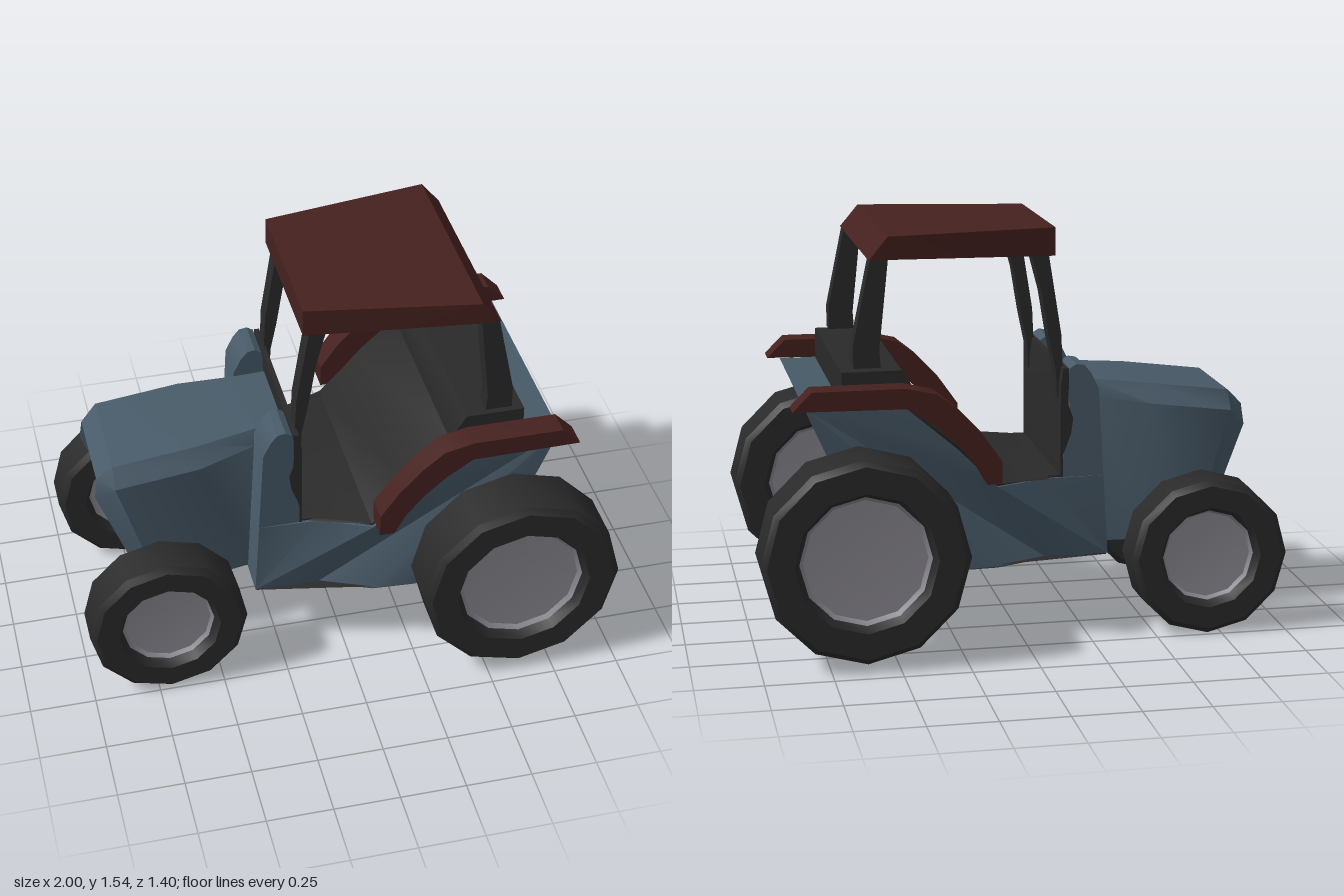
import * as THREE from 'three';
import { toCreasedNormals } from 'three/addons/utils/BufferGeometryUtils.js';

const mat = (color) => new THREE.MeshStandardMaterial({ color });
const BLUE = mat(0x485a68), RED = mat(0x45211f), BLACK = mat(0x2a2a2a), METAL = mat(0x8a8890);

function part(name, geometry, material) {
  const mesh = new THREE.Mesh(toCreasedNormals(geometry, 0.6), material);
  mesh.name = name;
  return mesh;
}

// Side profile in x/y, extruded between two z values
function plate(profile, z0, z1) {
  const shape = new THREE.Shape(profile.map(([x, y]) => new THREE.Vector2(x, y)));
  const g = new THREE.ExtrudeGeometry(shape, { depth: z1 - z0, bevelEnabled: false });
  return g.translate(0, 0, z0);
}

// Symmetric slab whose half width depends on x
function slab(profile, width) {
  const g = plate(profile, -1, 1), p = g.attributes.position;
  for (let i = 0; i < p.count; i++) p.setZ(i, p.getZ(i) * width(p.getX(i)));
  return g;
}

// Piecewise-linear lookup through [x, value] pairs
function ramp(pairs) {
  return (x) => {
    for (let i = 1; i < pairs.length; i++) {
      const [x0, v0] = pairs[i - 1], [x1, v1] = pairs[i];
      if (x <= x1) return THREE.MathUtils.lerp(v0, v1, Math.max(0, (x - x0) / (x1 - x0)));
    }
    return pairs[pairs.length - 1][1];
  };
}

// Skin over equal-sized rings, closed at both ends
function loft(rings) {
  const n = rings[0].length, index = [];
  for (let r = 0; r + 1 < rings.length; r++) {
    for (let i = 0; i < n; i++) {
      const a = r * n + i, b = r * n + (i + 1) % n;
      index.push(a, a + n, b, b, a + n, b + n);
    }
  }
  const last = (rings.length - 1) * n;
  for (let i = 1; i < n - 1; i++) index.push(0, i, i + 1, last, last + i + 1, last + i);
  const g = new THREE.BufferGeometry();
  g.setAttribute('position', new THREE.Float32BufferAttribute(rings.flat(2), 3));
  g.setIndex(index);
  return g;
}

function lathe(points) {
  const g = new THREE.LatheGeometry(points.map(([r, y]) => new THREE.Vector2(r, y)), 12);
  return g.rotateX(Math.PI / 2);
}

function wheel(name, R, rim, h, x, y, z) {
  const g = new THREE.Group(), c = 0.022;
  g.name = name;
  g.add(part('tyre', lathe([
    [rim, -h + 0.035], [rim + 0.02, -h], [R - c, -h], [R, -h + c],
    [R, h - c], [R - c, h], [rim + 0.02, h], [rim, h - 0.035],
  ]), BLACK));
  g.add(part('rim', lathe([
    [0, -h + 0.06], [rim * 0.94, -h + 0.05], [rim + 0.005, -h + 0.03],
    [rim + 0.005, h - 0.03], [rim * 0.94, h - 0.05], [0, h - 0.06],
  ]), METAL));
  g.position.set(x, y, z);
  return g;
}

function axle(name, x, y, r, length) {
  const m = part(name, new THREE.CylinderGeometry(r, r, length, 12).rotateX(Math.PI / 2), METAL);
  m.position.set(x, y, 0);
  return m;
}

export function createModel() {
  const tractor = new THREE.Group();
  tractor.name = 'tractor';

  // Lower body, widening from the cowl to the rear deck
  const bodyWidth = ramp([[-0.34, 0.345], [-0.1, 0.355], [0.1, 0.44], [0.25, 0.45], [0.53, 0.45], [0.81, 0.44]]);
  tractor.add(part('body', slab([
    [-0.34, 0.3], [-0.1, 0.3], [0.1, 0.3], [0.25, 0.3], [0.53, 0.3], [0.81, 0.935],
    [0.46, 0.935], [0.25, 0.755], [0.1, 0.605], [-0.1, 0.605], [-0.32, 0.605],
  ], bodyWidth), BLUE));
  tractor.add(part('underside', slab([
    [-0.335, 0.295], [-0.1, 0.295], [0.1, 0.295], [0.25, 0.295], [0.52, 0.295],
    [0.52, 0.305], [0.25, 0.305], [0.1, 0.305], [-0.1, 0.305], [-0.335, 0.305],
  ], (x) => bodyWidth(x) - 0.003), BLACK));

  // Cab floor and sloping rear wall
  tractor.add(part('cabLining', slab([
    [-0.16, 0.6], [-0.1, 0.6], [0.1, 0.6], [0.25, 0.75], [0.46, 0.93],
    [0.46, 0.945], [0.245, 0.765], [0.095, 0.612], [-0.1, 0.612], [-0.16, 0.612],
  ], (x) => bodyWidth(x) - 0.012), BLACK));
  tractor.add(part('rearDeck', plate([
    [0.41, 0.9], [0.67, 0.93], [0.67, 1.055], [0.45, 1.055], [0.415, 1.0],
  ], -0.425, 0.425), BLACK));

  // Hood: bottom, shoulder and top corners of each section, then half widths
  const hood = [
    [-0.77, 0.36, -0.91, 0.74, -0.9, 0.82, 0.19, 0.18],
    [-0.7, 0.34, -0.84, 0.81, -0.84, 0.88, 0.25, 0.2],
    [-0.52, 0.32, -0.52, 0.85, -0.52, 0.92, 0.25, 0.2],
    [-0.3, 0.305, -0.3, 0.88, -0.3, 0.94, 0.195, 0.17],
    [-0.17, 0.305, -0.17, 0.88, -0.17, 0.945, 0.195, 0.17],
  ].map(([xb, yb, xs, ys, xt, yt, w, wt]) => [
    [xb, yb, -w], [xb, yb, w], [xs, ys, w], [xt, yt, wt], [xt, yt, -wt], [xs, ys, -w],
  ]);
  tractor.add(part('hood', loft(hood), BLUE));

  // Dashboard wall behind the hood
  tractor.add(part('dashboard', plate([
    [-0.155, 0.605], [-0.155, 0.95], [-0.165, 1.02], [-0.185, 1.02],
    [-0.185, 0.88], [-0.203, 0.83], [-0.195, 0.77], [-0.165, 0.69], [-0.165, 0.605],
  ], -0.347, 0.347), BLACK));

  // Roof, tapering towards the front
  tractor.add(part('roof', slab([
    [-0.14, 1.437], [0.49, 1.458], [0.565, 1.458], [0.495, 1.542], [-0.14, 1.542],
  ], ramp([[-0.14, 0.31], [0.5, 0.415], [0.565, 0.415]])), RED));

  // Mirrored parts
  const cowl = [
    [-0.34, 0.3], [-0.155, 0.3], [-0.155, 0.62], [-0.17, 0.7], [-0.19, 0.78], [-0.19, 0.88],
    [-0.178, 0.96], [-0.19, 1.02], [-0.215, 1.035], [-0.245, 1.03], [-0.27, 1.0], [-0.3, 0.94],
  ];
  const fender = [
    [0.1, 0.64], [0.155, 0.64], [0.2, 0.72], [0.27, 0.8], [0.35, 0.87], [0.45, 0.935], [0.86, 0.94],
    [0.79, 1.01], [0.45, 1.01], [0.34, 0.985], [0.26, 0.92], [0.17, 0.825], [0.1, 0.725],
  ];
  const frontPillar = [
    [-0.185, 0.95], [-0.15, 0.9], [-0.145, 1.0], [-0.12, 1.12], [-0.09, 1.3],
    [-0.05, 1.45], [-0.115, 1.45], [-0.165, 1.14], [-0.17, 1.03],
  ];
  const rearPillar = [
    [0.525, 1.065], [0.625, 1.065], [0.625, 1.15], [0.56, 1.46], [0.495, 1.46], [0.53, 1.13],
  ];
  const mirrored = (name, profile, inner, outer, material) => {
    tractor.add(part(name + 'Left', plate(profile, inner, outer), material));
    tractor.add(part(name + 'Right', plate(profile, -outer, -inner), material));
  };
  mirrored('cowl', cowl, 0.19, 0.345, BLUE);
  mirrored('fender', fender, 0.43, 0.53, RED);
  mirrored('frontPillar', frontPillar, 0.23, 0.305, BLACK);
  mirrored('rearPillar', rearPillar, 0.34, 0.413, BLACK);

  // Running gear
  tractor.add(axle('frontAxle', -0.7, 0.305, 0.042, 0.8));
  tractor.add(axle('rearAxle', 0.62, 0.413, 0.043, 1.1));
  for (const s of [-1, 1]) {
    const side = s > 0 ? 'Left' : 'Right';
    tractor.add(wheel('frontWheel' + side, 0.3, 0.175, 0.095, -0.7, 0.305, s * 0.405));
    tractor.add(wheel('rearWheel' + side, 0.38, 0.24, 0.123, 0.62, 0.415, s * 0.577));
  }
  return tractor;
}
